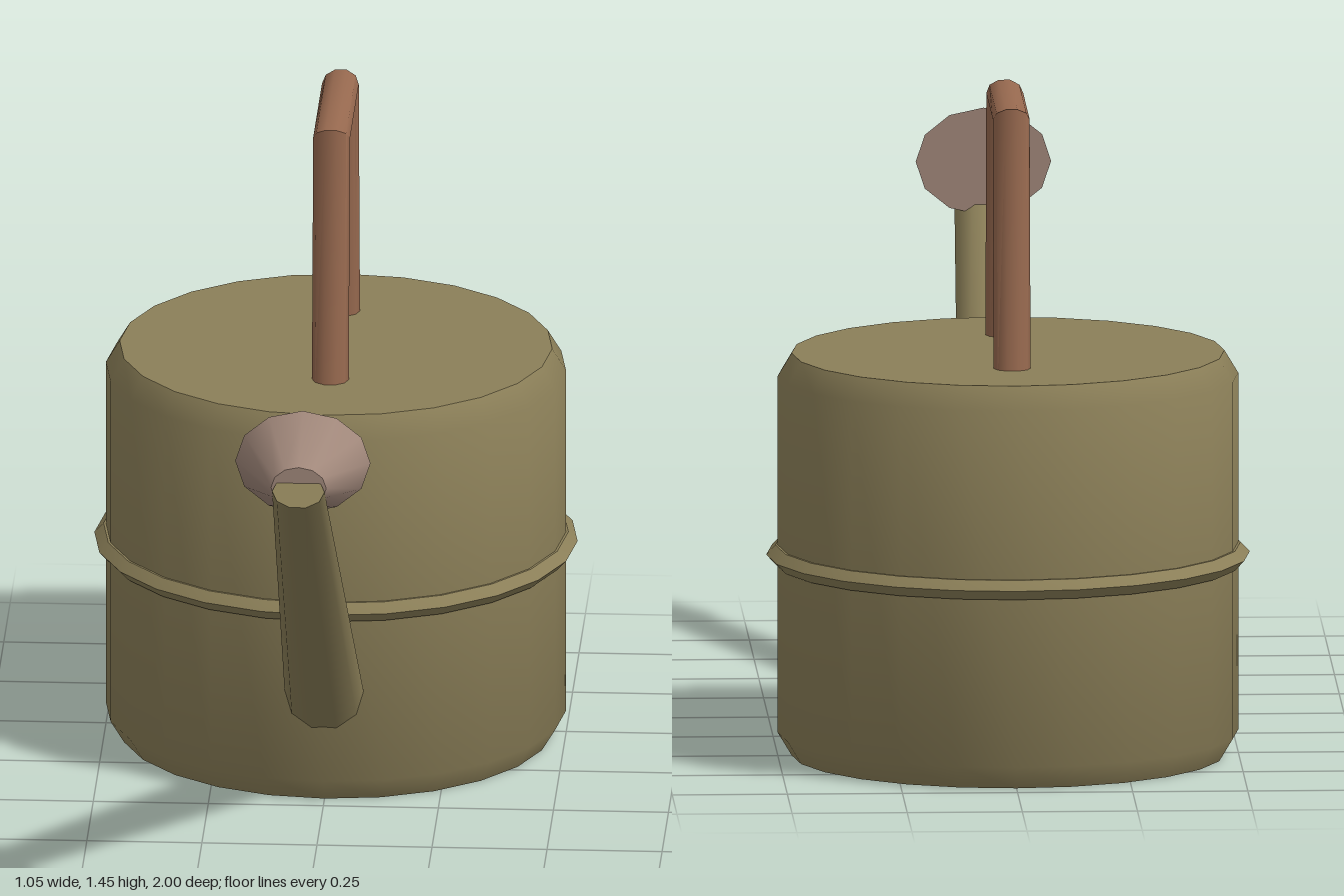
import * as THREE from 'three';
import { toCreasedNormals } from 'three/addons/utils/BufferGeometryUtils.js';

const CREASE = 0.8;

// Capped skin over elliptical sections. Each section is [y, z, rx, vy, vz]:
// centre, half-width along x, and the other half-axis as a vector in the yz plane.
function loft(sections, sides) {
  const pos = [], index = [];
  for (const [y, z, rx, vy, vz] of sections) {
    for (let i = 0; i < sides; i++) {
      const a = (i / sides) * Math.PI * 2, c = Math.cos(a), s = Math.sin(a);
      pos.push(rx * c, y + vy * s, z + vz * s);
    }
  }
  const last = (sections.length - 1) * sides;
  for (let k = 0; k < last; k += sides) {
    for (let i = 0; i < sides; i++) {
      const j = (i + 1) % sides;
      index.push(k + i, k + j, k + sides + j, k + i, k + sides + j, k + sides + i);
    }
  }
  for (let i = 1; i < sides - 1; i++) {
    index.push(0, i + 1, i, last, last + i, last + i + 1);
  }
  const geo = new THREE.BufferGeometry();
  geo.setAttribute('position', new THREE.Float32BufferAttribute(pos, 3));
  geo.setIndex(index);
  return toCreasedNormals(geo, CREASE);
}

// Slightly oval turned shape, profile given from bottom to top
function turned(profile) {
  const geo = new THREE.LatheGeometry(profile.map(([r, y]) => new THREE.Vector2(r, y)), 24);
  geo.scale(1, 1, 0.956);
  geo.translate(0, 0, -0.495);
  return toCreasedNormals(geo, CREASE);
}

export function createModel() {
  const material = (name, color) => new THREE.MeshStandardMaterial({ name, color });
  const olive = material('olive metal', 0x8b7f58);
  const wood = material('brown handle', 0x97694f);
  const copper = material('dusty copper', 0xa0877a);

  const group = new THREE.Group();
  group.name = 'wateringCan';
  const add = (name, geo, mat) => {
    const mesh = new THREE.Mesh(geo, mat);
    mesh.name = name;
    group.add(mesh);
  };

  // Closed drum with bevelled rims
  add('body', turned([[0, 0], [0.47, 0], [0.5, 0.05], [0.5, 0.835], [0.47, 0.885], [0, 0.885]]), olive);

  // Raised band around the middle
  add('band', turned([[0.49, 0.42], [0.505, 0.42], [0.525, 0.442], [0.505, 0.463], [0.49, 0.463]]), olive);

  // Tapered spout rising towards the front
  const spoutSection = (y, z, rx, r) => [y, z, rx, 0.773 * r, -0.634 * r];
  add('spout', loft([
    spoutSection(0.197, -0.1, 0.088, 0.074),
    spoutSection(1.08, 0.977, 0.057, 0.039),
  ], 10), olive);

  // Sprinkler head, wide end towards the body
  add('sprinklerHead', loft([
    [1.084, 0.8, 0.147, 0.118, 0],
    [1.084, 0.965, 0.06, 0.047, 0],
  ], 12), copper);

  // Mitred handle: front leg, top bar, back leg
  add('handle', loft([
    [0.86, -0.273, 0.04, 0, -0.039],
    [1.425, -0.3225, 0.04, -0.0263, -0.0237],
    [1.425, -0.665, 0.04, -0.0263, 0.0237],
    [0.86, -0.7145, 0.04, 0, 0.039],
  ], 10), wood);

  return group;
}
